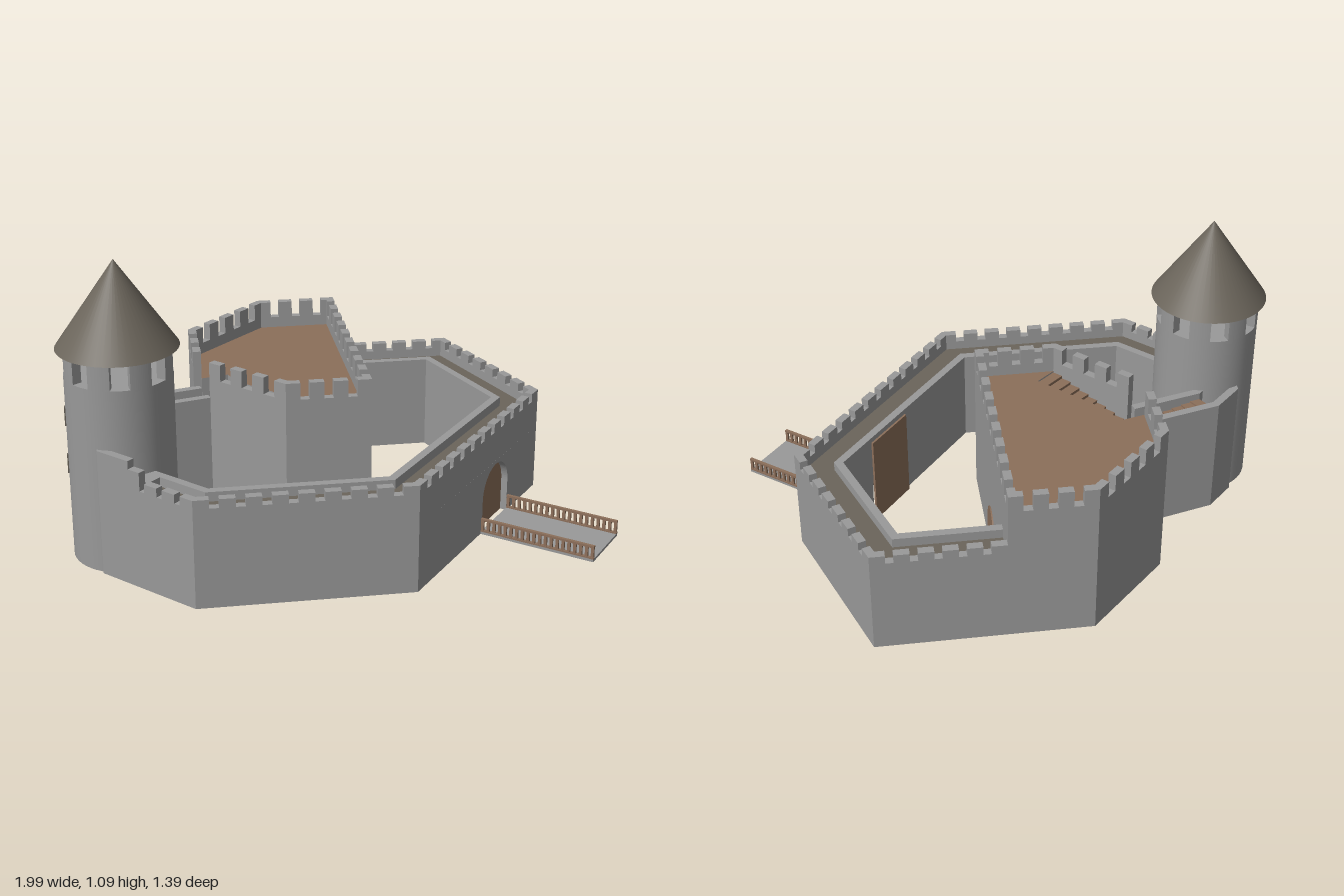
import * as THREE from 'three';

const stone = new THREE.MeshStandardMaterial({ color: 0x999999 });
stone.name = 'stone';
const wood = new THREE.MeshStandardMaterial({ color: 0x8c6f5a });
wood.name = 'wood';
const slate = new THREE.MeshStandardMaterial({ color: 0x6b655b });
slate.name = 'slate';

// Moves a plan path [x, z] sideways by a distance, with mitred corners
function offset(path, dist) {
  const normals = path.slice(1).map(([x, z], i) => {
    const dx = x - path[i][0], dz = z - path[i][1], l = Math.hypot(dx, dz);
    return [-dz / l, dx / l];
  });
  return path.map(([x, z], i) => {
    const a = normals[Math.max(i - 1, 0)], b = normals[Math.min(i, normals.length - 1)];
    const k = dist / (1 + a[0] * b[0] + a[1] * b[1]);
    return [x + (a[0] + b[0]) * k, z + (a[1] + b[1]) * k];
  });
}

function add(parent, name, geometry, material, x = 0, y = 0, z = 0) {
  const mesh = new THREE.Mesh(geometry, material);
  mesh.name = name;
  mesh.position.set(x, y, z);
  parent.add(mesh);
  return mesh;
}

// Upright prism over a plan polygon
function prism(parent, name, points, y0, y1, material) {
  const shape = new THREE.Shape(points.map(([x, z]) => new THREE.Vector2(x, -z)));
  const geo = new THREE.ExtrudeGeometry(shape, { depth: y1 - y0, bevelEnabled: false });
  return add(parent, name, geo.rotateX(-Math.PI / 2), material, 0, y0, 0);
}

// Wall strip between two offsets of a path
function band(parent, name, path, a, b, y0, y1, material) {
  return prism(parent, name, [...offset(path, a), ...offset(path, b).reverse()], y0, y1, material);
}

// Merlons along every side of a path
function merlons(parent, name, path, width, pitch, y0, y1) {
  const thick = 0.03;
  for (let s = 0; s < path.length - 1; s++) {
    const [x0, z0] = path[s], [x1, z1] = path[s + 1];
    const l = Math.hypot(x1 - x0, z1 - z0), dx = (x1 - x0) / l, dz = (z1 - z0) / l;
    const n = Math.max(1, Math.round(l / pitch));
    for (let i = 0; i <= n; i++) {
      const t = width / 2 + (l - width) * i / n;
      const m = add(parent, name, new THREE.BoxGeometry(width, y1 - y0, thick), stone,
        x0 + dx * t - dz * thick / 2, (y0 + y1) / 2, z0 + dz * t + dx * thick / 2);
      m.rotation.y = -Math.atan2(dz, dx);
    }
  }
}

// Round-headed door outline
function archShape(r, height) {
  const s = new THREE.Shape();
  s.moveTo(-r, 0);
  s.lineTo(r, 0);
  s.lineTo(r, height - r);
  s.absarc(0, height - r, r, 0, Math.PI, false);
  s.lineTo(-r, 0);
  return s;
}

function lerp2(a, b, t) {
  return [a[0] + (b[0] - a[0]) * t, a[1] + (b[1] - a[1]) * t];
}

// Flight of steps between two side lines, heights from ya to yb
function steps(parent, name, leftA, leftB, rightA, rightB, n, base, ya, yb) {
  for (let i = 0; i < n; i++) {
    const t0 = i / n, t1 = (i + 1) / n;
    prism(parent, name, [lerp2(leftA, leftB, t0), lerp2(leftA, leftB, t1),
      lerp2(rightA, rightB, t1), lerp2(rightA, rightB, t0)],
    base, ya + (yb - ya) * (i + 0.5) / n, wood);
  }
}

function curtainWall(root) {
  const g = new THREE.Group();
  g.name = 'curtainWall';
  root.add(g);
  const d = [-0.627, 0.779], c = [0.58, 0.206], T = 0.155, h = 0.13;
  const path = [[0.11, -0.7], [0.58, -0.7], [0.81, -0.08], [0.19, 0.69], [-0.57, 0.69], [-0.87, 0.39], [-0.87, 0.25]];
  const g1 = [c[0] - d[0] * h, c[1] - d[1] * h], g2 = [c[0] + d[0] * h, c[1] + d[1] * h];
  // Lower wall leaves room for the gate block
  band(g, 'wallNorthEast', [...path.slice(0, 3), g1], 0, T, 0, 0.25, stone);
  band(g, 'wallSouthWest', [g2, ...path.slice(3)], 0, T, 0, 0.25, stone);
  band(g, 'wallUpper', path, 0, T, 0.25, 0.33, stone);
  band(g, 'outerParapet', path, 0, 0.03, 0.33, 0.37, stone);
  band(g, 'innerLip', path, 0.125, T, 0.33, 0.37, stone);
  band(g, 'walkway', path.slice(0, 6), 0.03, 0.125, 0.33, 0.335, slate);
  merlons(g, 'merlon', [...path.slice(0, 5), [-0.72, 0.54]], 0.055, 0.092, 0.37, 0.402);
  // Parapet stepping up to the tower
  band(g, 'raisedParapet', [[-0.77, 0.49], [-0.87, 0.39], [-0.87, 0.25]], 0, 0.03, 0.37, 0.468, stone);
  band(g, 'parapetStep', [[-0.735, 0.525], [-0.77, 0.49]], 0, 0.03, 0.37, 0.438, stone);
  band(g, 'towerLanding', [[-0.75, 0.51], [-0.87, 0.39]], 0.03, 0.125, 0.33, 0.37, stone);

  // Gate block with arched passage, doors and drawbridge
  const gate = new THREE.Group();
  gate.name = 'gate';
  gate.position.set(c[0], 0, c[1]);
  gate.rotation.y = Math.atan2(0.779, 0.627);
  g.add(gate);
  const r = 0.109, top = 0.236;
  const s = new THREE.Shape();
  s.moveTo(-h, 0);
  s.lineTo(-r, 0);
  s.lineTo(-r, top - r);
  s.absarc(0, top - r, r, Math.PI, 0, true);
  s.lineTo(r, 0);
  s.lineTo(h, 0);
  s.lineTo(h, 0.25);
  s.lineTo(-h, 0.25);
  add(gate, 'gateArch', new THREE.ExtrudeGeometry(s, { depth: T, bevelEnabled: false, curveSegments: 20 }), stone, 0, 0, -T);
  add(gate, 'gateDoor', new THREE.ExtrudeGeometry(archShape(r, top), { depth: 0.008, bevelEnabled: false, curveSegments: 20 }), wood, 0, 0, -0.033);
  add(gate, 'innerGate', new THREE.BoxGeometry(0.22, 0.355, 0.008), wood, 0, 0.1775, -T - 0.009);
  const L = 0.44;
  add(gate, 'bridgeDeck', new THREE.BoxGeometry(0.24, 0.01, L), stone, 0, 0.005, L / 2);
  for (const side of [-1, 1]) {
    const x = side * 0.114;
    add(gate, 'bridgeTopRail', new THREE.BoxGeometry(0.012, 0.008, L), wood, x, 0.058, L / 2);
    add(gate, 'bridgeBottomRail', new THREE.BoxGeometry(0.012, 0.006, L), wood, x, 0.0125, L / 2);
    for (let i = 0; i < 20; i++)
      add(gate, 'bridgePost', new THREE.BoxGeometry(0.008, 0.046, 0.011), wood, x, 0.034, 0.006 + i * (L - 0.012) / 19);
  }
}

function keep(root) {
  const g = new THREE.Group();
  g.name = 'keep';
  root.add(g);
  prism(g, 'keepBase', [[-0.5, -0.4], [-0.2, -0.7], [0.11, -0.7], [0.11, 0.22], [-0.2, 0.22], [-0.5, -0.08]], 0, 0.4, stone);
  const rim = [[-0.5, -0.15], [-0.5, -0.4], [-0.2, -0.7], [0.11, -0.7], [0.11, 0.22], [-0.2, 0.22], [-0.45, -0.03]];
  band(g, 'keepParapet', rim, 0, 0.03, 0.4, 0.542, stone);
  merlons(g, 'keepMerlon', rim, 0.052, 0.107, 0.542, 0.605);
  // Roof floor with a stairwell cut along the diagonal side
  prism(g, 'keepFloor', [[-0.47, -0.387], [-0.187, -0.67], [0.08, -0.67], [0.08, 0.19], [-0.188, 0.19], [-0.12, 0.13],
    [-0.35, -0.1], [-0.37, -0.17], [-0.47, -0.145]], 0.4, 0.5, [wood, stone]);
  prism(g, 'landing', [[-0.5, -0.14], [-0.37, -0.17], [-0.35, -0.1], [-0.42, -0.04], [-0.46, -0.03]], 0.4, 0.408, wood);
  steps(g, 'keepStep', [-0.35, -0.1], [-0.12, 0.13], [-0.42, -0.042], [-0.188, 0.19], 8, 0.4, 0.41, 0.5);
  const door = add(g, 'keepDoor', new THREE.ExtrudeGeometry(archShape(0.08, 0.21), { depth: 0.006, bevelEnabled: false, curveSegments: 20 }), wood, 0.109, 0, -0.26);
  door.rotation.y = Math.PI / 2;
}

function linkWall(root) {
  const g = new THREE.Group();
  g.name = 'linkWall';
  root.add(g);
  const path = [[-0.87, 0.15], [-0.87, 0.02], [-0.77, -0.08], [-0.48, -0.155]];
  band(g, 'linkBody', path, 0, 0.13, 0, 0.395, stone);
  band(g, 'linkOuterParapet', path, 0, 0.03, 0.395, 0.468, stone);
  band(g, 'linkInnerParapet', path, 0.1, 0.13, 0.395, 0.468, stone);
  const a = offset(path, 0.03), b = offset(path, 0.1);
  steps(g, 'linkStep', a[3], a[2], b[3], b[2], 7, 0.395, 0.405, 0.445);
}

function tower(root) {
  const g = new THREE.Group();
  g.name = 'tower';
  g.position.set(-0.78, 0, 0.21);
  root.add(g);
  const R = 0.19;
  add(g, 'towerBody', new THREE.CylinderGeometry(R, R, 0.685, 48), stone, 0, 0.3425, 0);
  // Piers between eight openings
  for (let i = 0; i < 8; i++) {
    const mid = (i + 0.5) * Math.PI / 4, half = 0.21, s = new THREE.Shape();
    s.absarc(0, 0, R, mid - half, mid + half, false);
    s.absarc(0, 0, R - 0.035, mid + half, mid - half, true);
    const geo = new THREE.ExtrudeGeometry(s, { depth: 0.1, bevelEnabled: false, curveSegments: 6 });
    add(g, 'towerPier', geo.rotateX(-Math.PI / 2), stone, 0, 0.683, 0);
  }
  add(g, 'towerRoof', new THREE.ConeGeometry(0.215, 0.31, 48), slate, 0, 0.935, 0);
  // Arrow slits facing outward
  for (const y of [0.35, 0.53])
    add(g, 'arrowSlit', new THREE.BoxGeometry(0.008, 0.07, 0.016), slate, -R, y, 0);
}

export function createModel() {
  const root = new THREE.Group();
  root.name = 'castle';
  curtainWall(root);
  keep(root);
  linkWall(root);
  tower(root);
  return root;
}
